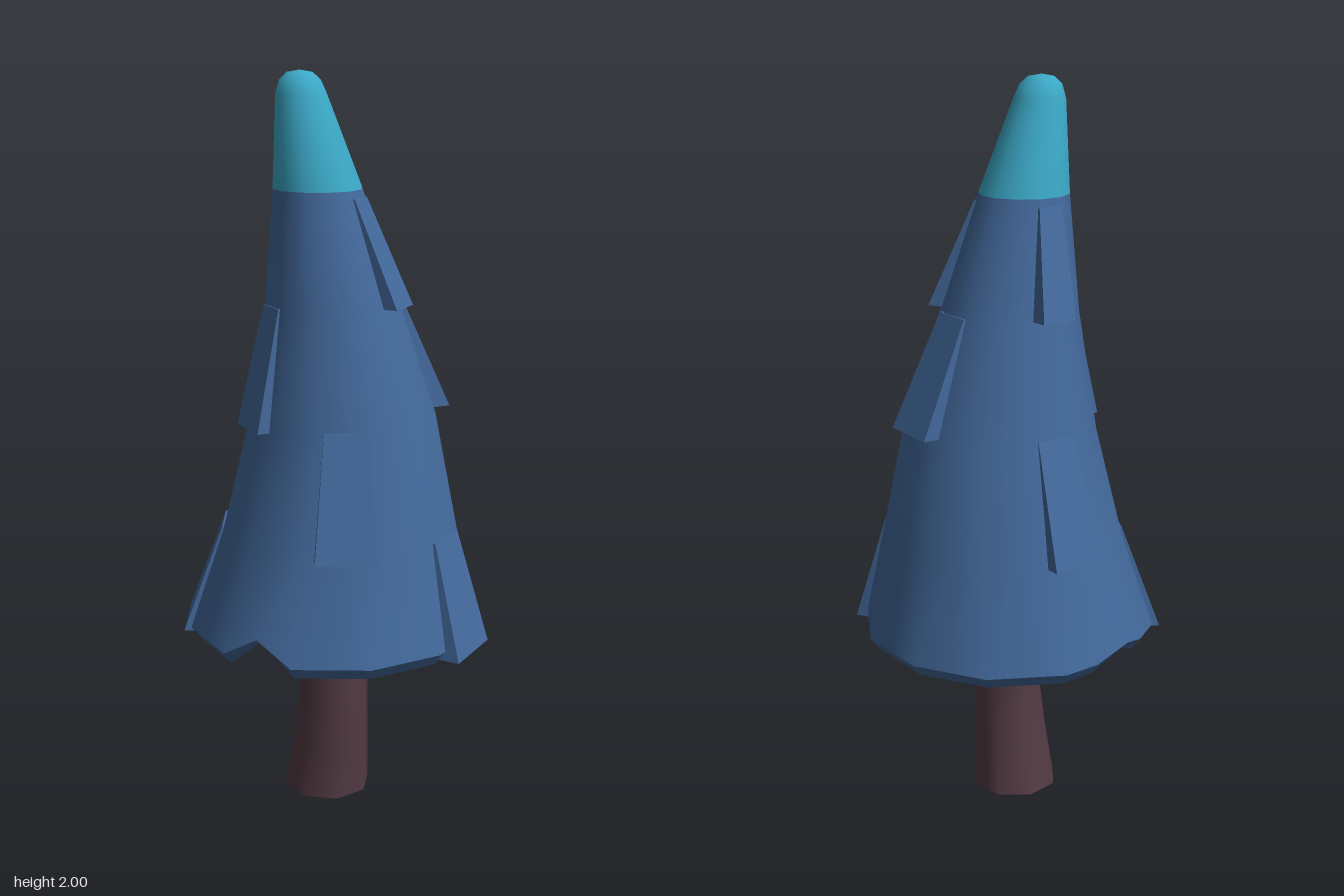
import * as THREE from 'three';
import { toCreasedNormals } from 'three/addons/utils/BufferGeometryUtils.js';

const needleBlue = new THREE.MeshStandardMaterial({ color: 0x42689a });
needleBlue.name = 'needleBlue';
const tipTeal = new THREE.MeshStandardMaterial({ color: 0x3ba8c6 });
tipTeal.name = 'tipTeal';
const barkBrown = new THREE.MeshStandardMaterial({ color: 0x523a43 });
barkBrown.name = 'barkBrown';

// Skins rings of [centre x, y, centre z, radius]. Odd points sit on the chords
// of the polygon, so notches can be cut between corners. splitY starts group 1.
function loft(rings, sides, crease, splitY = Infinity, lift = () => 0) {
  const n = sides * 2, pos = [], index = [];
  const chord = Math.cos(Math.PI / sides);
  for (const [cx, y, cz, r] of rings) {
    for (let i = 0; i < n; i++) {
      const a = (i / n) * Math.PI * 2, rr = i % 2 ? r * chord : r;
      pos.push(cx + rr * Math.cos(a), y + lift(i, y, r), cz + rr * Math.sin(a));
    }
  }
  let split = -1;
  for (let j = 0; j < rings.length - 1; j++) {
    if (split < 0 && rings[j][1] >= splitY) split = index.length;
    for (let i = 0; i < n; i++) {
      const k = (i + 1) % n, a = j * n, b = a + n;
      index.push(a + i, b + i, a + k, a + k, b + i, b + k);
    }
  }
  const geo = new THREE.BufferGeometry();
  geo.setAttribute('position', new THREE.Float32BufferAttribute(pos, 3));
  geo.setIndex(index);
  if (split >= 0) {
    geo.addGroup(0, split, 0);
    geo.addGroup(split, index.length - split, 1);
  }
  return toCreasedNormals(geo, crease);
}

// Foliage outline above the rim
const CONE = [
  [0, 0.51, 0, 0.405], [0.018, 0.78, 0, 0.33], [0.025, 1.08, 0, 0.262],
  [-0.005, 1.4, 0, 0.184], [-0.045, 1.7, 0, 0.12],
];
// Rounded top of the tip
const TIP = [
  [-0.088, 1.94, 0, 0.068], [-0.091, 1.975, 0, 0.055],
  [-0.092, 1.994, 0, 0.034], [-0.092, 2, 0, 0],
];
// Hollow underside, running outward to the rim
const HOLLOW = [
  [0, 0.72, 0, 0], [0, 0.7, 0, 0.14], [0, 0.6, 0, 0.29],
  [0, 0.49, 0, 0.355], [0, 0.475, 0, 0.378],
];

// Centre and radius of the cone at a height
function coneAt(y) {
  let j = 0;
  while (j < CONE.length - 2 && y > CONE[j + 1][1]) j++;
  const a = CONE[j], b = CONE[j + 1], t = (y - a[1]) / (b[1] - a[1]);
  return { cx: a[0] + (b[0] - a[0]) * t, r: a[3] + (b[3] - a[3]) * t };
}

// Wedge-shaped branch flap: flush at its top, standing proud at its bottom
function flap(name, degrees, yLow, yHigh, reach, width) {
  const geo = new THREE.BoxGeometry(1, 1, 1);
  const p = geo.attributes.position;
  const a = THREE.MathUtils.degToRad(degrees);
  const c = Math.cos(a), s = Math.sin(a);
  const low = coneAt(yLow), high = coneAt(yHigh);
  for (let i = 0; i < p.count; i++) {
    const top = p.getY(i) > 0, outer = p.getZ(i) > 0;
    const at = top ? high : low;
    const d = top ? (outer ? at.r * 0.985 : at.r - 0.06) : (outer ? reach : at.r - 0.06);
    const w = p.getX(i) * width * (top ? 0.72 : 1);
    p.setXYZ(i, at.cx + d * c + w * s, top ? yHigh : yLow, d * s - w * c);
  }
  const flat = geo.toNonIndexed();
  flat.computeVertexNormals();
  const mesh = new THREE.Mesh(flat, needleBlue);
  mesh.name = name;
  return mesh;
}

export function createModel() {
  const tree = new THREE.Group();
  tree.name = 'tree';

  // Leaning trunk
  const trunk = new THREE.Mesh(loft([
    [-0.02, 0, 0, 0], [-0.02, 0, 0, 0.121], [-0.014, 0.15, 0.018, 0.108],
    [-0.01, 0.29, 0.033, 0.1], [-0.01, 0.48, 0.028, 0.096], [-0.01, 0.74, 0.02, 0.09],
  ], 8, 0.9), barkBrown);
  trunk.name = 'trunk';
  tree.add(trunk);

  // Foliage cone with two notches in its rim and a coloured tip
  const notches = { 9: 0.085, 16: 0.05 };
  const lift = (i, y, r) => (y < 0.55 && r > 0.3 ? (notches[i] || 0) * (y > 0.5 ? 0.7 : 1) : 0);
  const foliage = new THREE.Mesh(
    loft([...HOLLOW, ...CONE, ...TIP], 12, 0.8, 1.69, lift), [needleBlue, tipTeal]);
  foliage.name = 'foliage';
  tree.add(foliage);

  // Branch flaps in three tiers: angle, bottom, top, reach, width
  const flaps = [
    ['lowerFlap', 194, 0.5, 0.79, 0.412, 0.2],
    ['lowerFlap', 43, 0.485, 0.79, 0.43, 0.19],
    ['middleFlap', 102, 0.78, 1.1, 0.36, 0.16],
    ['middleFlap', -103, 0.78, 1.1, 0.357, 0.155],
    ['upperFlap', -12, 1.1, 1.4, 0.288, 0.16],
    ['upperFlap', 167, 1.08, 1.4, 0.285, 0.13],
    ['topFlap', 41, 1.4, 1.68, 0.212, 0.1],
    ['topFlap', -103, 1.4, 1.68, 0.222, 0.1],
  ];
  flaps.forEach((f) => tree.add(flap(...f)));

  return tree;
}
